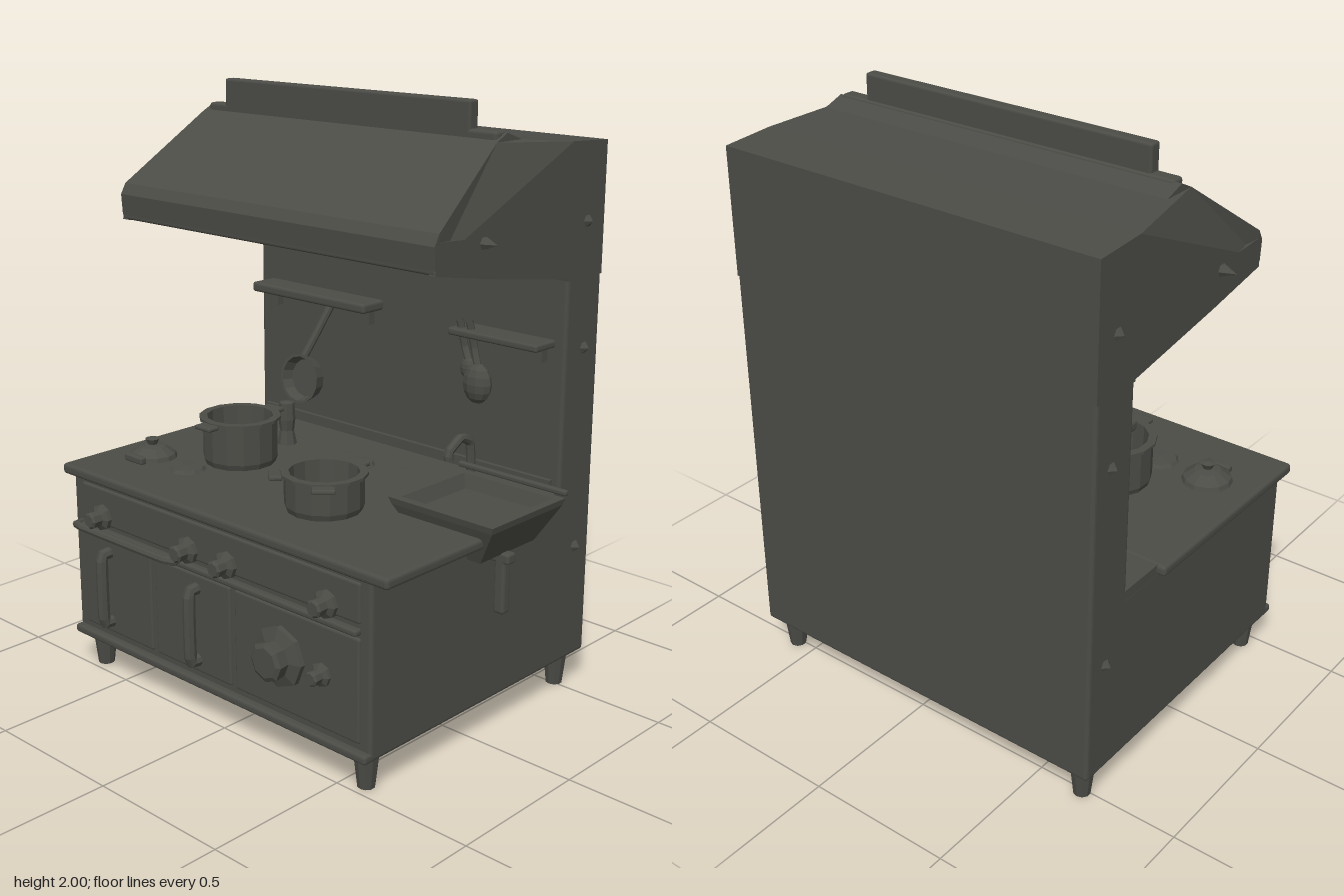
import * as THREE from 'three';
import { RoundedBoxGeometry } from 'three/addons/geometries/RoundedBoxGeometry.js';

const iron = new THREE.MeshStandardMaterial({ color: 0x4b4c46, flatShading: true, side: THREE.DoubleSide });
iron.name = 'dark iron';

export function createModel() {
  const model = new THREE.Group();
  const add = (name, geo, x = 0, y = 0, z = 0, parent = model) => {
    const m = new THREE.Mesh(geo, iron);
    m.name = name;
    m.position.set(x, y, z);
    parent.add(m);
    return m;
  };
  // Box given by its limits
  const box = (name, x0, x1, y0, y1, z0, z1, r = 0) => {
    const s = [x1 - x0, y1 - y0, z1 - z0];
    const g = r ? new RoundedBoxGeometry(...s, 2, r) : new THREE.BoxGeometry(...s);
    return add(name, g, (x0 + x1) / 2, (y0 + y1) / 2, (z0 + z1) / 2);
  };
  const tube = (name, pts, r, parent = model) => add(name, new THREE.TubeGeometry(
    new THREE.CatmullRomCurve3(pts.map(p => new THREE.Vector3(...p)), false, 'catmullrom', 0.2), 16, r, 8), 0, 0, 0, parent);
  const lathe = (name, pts, sides, x, y, z, parent = model) => add(name, new THREE.LatheGeometry(
    pts.map(p => new THREE.Vector2(...p)), sides), x, y, z, parent);
  // Prism from a (z, y) profile, running along x
  const prism = (name, pts, x0, x1) => {
    const shape = new THREE.Shape(pts.map(([z, y]) => new THREE.Vector2(-z, y)));
    const g = new THREE.ExtrudeGeometry(shape, { depth: x1 - x0, bevelEnabled: false });
    g.rotateY(Math.PI / 2);
    return add(name, g, x0, 0, 0);
  };

  // Cabinet, back wall and worktop
  box('cabinet', -0.73, 0.64, 0.12, 0.71, -0.57, 0.505, 0.012);
  box('backWall', -0.73, 0.64, 0.12, 1.75, -0.58, -0.4, 0.012);
  box('worktop', -0.76, 0.72, 0.7, 0.737, -0.24, 0.53, 0.012);
  box('worktopRear', -0.73, 0.64, 0.7, 0.735, -0.42, -0.23);
  box('baseLedge', -0.73, 0.64, 0.12, 0.15, 0.48, 0.53, 0.01);
  box('wallSkirting', -0.7, 0.61, 0.73, 0.77, -0.41, -0.385);

  // Tapered feet
  for (const x of [-0.665, 0.575]) for (const z of [0.45, -0.51])
    add('foot', new THREE.CylinderGeometry(0.043, 0.028, 0.13, 10), x, 0.065, z);

  // Hood: core, two cheeks reaching lower, lip and crest
  const tuck = mesh => {
    const p = mesh.geometry.attributes.position;
    for (let i = 0; i < p.count; i++) if (p.getY(i) > 1.875) {
      const x = p.getX(i) + mesh.position.x;
      if (x < -0.69) p.setX(i, p.getX(i) + 0.05);
      if (x > 0.6) p.setX(i, p.getX(i) - 0.05);
    }
    mesh.geometry.computeVertexNormals();
  };
  const roof = [[-0.58, 1.855], [-0.4, 1.865], [-0.2, 1.885], [-0.13, 1.91], [-0.08, 1.885], [0.235, 1.665], [0.255, 1.63]];
  tuck(prism('hood', [[0.25, 1.56], [0.23, 1.585], [-0.39, 1.475], [-0.4, 1.43], [-0.58, 1.43], ...roof], -0.73, 0.64));
  for (const x of [-0.73, 0.615])
    prism('hoodCheek', [[0.25, 1.545], [0, 1.5], [-0.41, 1.435], [-0.41, 1.6], [0.23, 1.64]], x, x + 0.025);
  box('hoodLip', -0.73, 0.64, 1.545, 1.63, 0.225, 0.25, 0.008);
  box('hoodCrest', -0.58, 0.48, 1.87, 2, -0.132, -0.09, 0.008);
  box('crestFoot', -0.66, 0.58, 1.87, 1.915, -0.14, -0.09, 0.01);

  // Studs on the sides
  for (const [y, z] of [[1.61, 0.03], [1.61, -0.49], [1.2, -0.5], [0.52, -0.5]]) for (const s of [-1, 1]) {
    const big = z > 0 ? 1 : 0.4;
    const stud = add('stud', new THREE.ConeGeometry(0.025, 0.06 * big, 6), s < 0 ? -0.73 - 0.02 * big : 0.64 + 0.02 * big, y, z);
    stud.rotation.z = -s * Math.PI / 2;
  }

  // Front: drawer rail, doors, vertical handles and knobs
  box('drawerLedge', -0.7, 0.6, 0.52, 0.542, 0.5, 0.53, 0.008);
  for (const [a, b] of [[-0.68, -0.33], [-0.31, 0.05], [0.07, 0.6]])
    box('door', a, b, 0.17, 0.51, 0.49, 0.513, 0.008);
  box('drawerFront', -0.68, 0.6, 0.555, 0.685, 0.49, 0.512, 0.008);
  tube('towelRail', [[-0.69, 0.535, 0.51], [-0.66, 0.54, 0.55], [-0.2, 0.54, 0.55], [-0.17, 0.545, 0.51]], 0.014);
  for (const x of [-0.545, -0.105])
    tube('doorHandle', [[x, 0.46, 0.5], [x, 0.455, 0.545], [x, 0.22, 0.545], [x, 0.215, 0.5]], 0.021);
  const knob = (name, x, y, r, d) => {
    const k = lathe(name, [[0, 0], [r, 0], [r, d * 0.3], [r * 0.6, d * 0.45], [r * 0.65, d * 0.9], [r * 0.5, d], [0, d]], 8, x, y, 0.505);
    k.rotation.x = Math.PI / 2;
  };
  for (const x of [-0.57, -0.14, 0.04, 0.47]) knob('knob', x, 0.585, 0.045, 0.07);
  knob('fireValve', 0.28, 0.355, 0.1, 0.085);
  knob('smallKnob', 0.45, 0.35, 0.038, 0.06);

  // Pots with flared rims and lug handles
  const pot = (name, x, z, r, h, angles) => {
    const g = new THREE.Group();
    g.name = name;
    g.position.set(x, 0.737, z);
    model.add(g);
    lathe('potShell', [[0, 0], [r * 0.94, 0], [r, 0.02], [r, h - 0.012], [r + 0.012, h - 0.01], [r + 0.012, h],
      [r - 0.015, h], [r - 0.02, 0.03], [0, 0.03]], 14, 0, 0, 0, g);
    for (const a of angles) {
      const lug = add('potHandle', new RoundedBoxGeometry(0.075, 0.016, 0.045, 1, 0.006),
        Math.sin(a) * (r + 0.025), h - 0.012, Math.cos(a) * (r + 0.025), g);
      lug.rotation.y = a;
    }
  };
  pot('tallPot', -0.34, 0.09, 0.128, 0.163, [0, Math.PI]);
  pot('shortPot', 0.195, 0.235, 0.128, 0.125, [-0.75, 0.75, Math.PI]);

  // Loose lid, hotplates and pepper mill on the worktop
  lathe('looseLid', [[0.085, 0], [0.08, 0.015], [0.045, 0.04], [0.015, 0.045], [0.025, 0.065], [0, 0.07]], 12, -0.59, 0.737, 0.27);
  box('lidHandle', -0.63, -0.54, 0.737, 0.762, 0.34, 0.365, 0.006);
  for (const [x, z] of [[-0.4, 0.28], [0, 0.1], [-0.02, -0.15]])
    lathe('hotplate', [[0.065, 0], [0.055, 0.012], [0, 0.014]], 10, x, 0.736, z);
  lathe('mill', [[0.035, 0], [0.025, 0.05], [0.03, 0.09], [0.027, 0.15], [0, 0.155]], 8, -0.36, 0.737, -0.155);

  // Overhanging basin: nested rectangles from the base up to the rim and down inside
  const rings = [[0.46, 0.69, 0.64, -0.2, 0.07], [0.37, 0.765, 0.765, -0.24, 0.115], [0.36, 0.77, 0.787, -0.248, 0.12],
    [0.39, 0.742, 0.787, -0.22, 0.092], [0.41, 0.72, 0.742, -0.205, 0.075]];
  const pos = [], idx = [];
  for (const [x0, x1, y, z0, z1] of rings) pos.push(x0, y, z1, x1, y, z1, x1, y, z0, x0, y, z0);
  for (let k = 0; k < rings.length - 1; k++) for (let i = 0; i < 4; i++) {
    const a = k * 4 + i, b = k * 4 + (i + 1) % 4;
    idx.push(a, b, b + 4, a, b + 4, a + 4);
  }
  idx.push(0, 2, 1, 0, 3, 2, 16, 17, 18, 16, 18, 19);
  const basin = new THREE.BufferGeometry();
  basin.setAttribute('position', new THREE.Float32BufferAttribute(pos, 3));
  basin.setIndex(idx);
  basin.computeVertexNormals();
  add('basin', basin);
  box('basinRail', 0.33, 0.76, 0.785, 0.803, -0.28, -0.26, 0.006);
  tube('tap', [[0.3, 0.735, -0.37], [0.3, 0.84, -0.36], [0.3, 0.865, -0.31], [0.3, 0.83, -0.25], [0.3, 0.8, -0.25]], 0.016);

  // Lever under the basin
  box('leverArm', 0.63, 0.72, 0.61, 0.645, -0.07, -0.03, 0.008);
  box('lever', 0.665, 0.705, 0.44, 0.64, -0.068, -0.03, 0.01);

  // Shelf and utensil rack on the wall
  box('shelf', -0.68, -0.13, 1.215, 1.25, -0.41, -0.3, 0.01);
  box('rack', 0.24, 0.6, 1.21, 1.235, -0.41, -0.3, 0.008);
  for (const x of [-0.63, -0.18, 0.28, 0.56]) box('bracket', x - 0.012, x + 0.012, 1.16, 1.22, -0.41, -0.37);

  // Hanging frying pan
  const pan = new THREE.Group();
  pan.name = 'hangingPan';
  pan.position.set(-0.385, 0.945, -0.29);
  pan.rotation.x = -0.12;
  model.add(pan);
  lathe('panBowl', [[0, 0], [0.075, 0], [0.09, 0.05], [0.08, 0.05], [0.068, 0.012], [0, 0.012]], 14, 0, 0, 0, pan).rotation.x = Math.PI / 2;
  tube('panHandle', [[0, 0.08, 0.03], [0.02, 0.16, 0], [0.045, 0.27, -0.04]], 0.014, pan);

  // Hanging ladles
  for (const [x, y, r] of [[0.34, 1.055, 0.055], [0.3, 1.1, 0.03]]) {
    add('ladleBowl', new THREE.SphereGeometry(r, 10, 8), x, y, -0.34).scale.set(1, 1.25, 0.65);
    tube('ladleHandle', [[x, y + r, -0.34], [x - 0.02, 1.17, -0.345], [x - 0.03, 1.26, -0.33]], 0.013);
  }
  return model;
}
